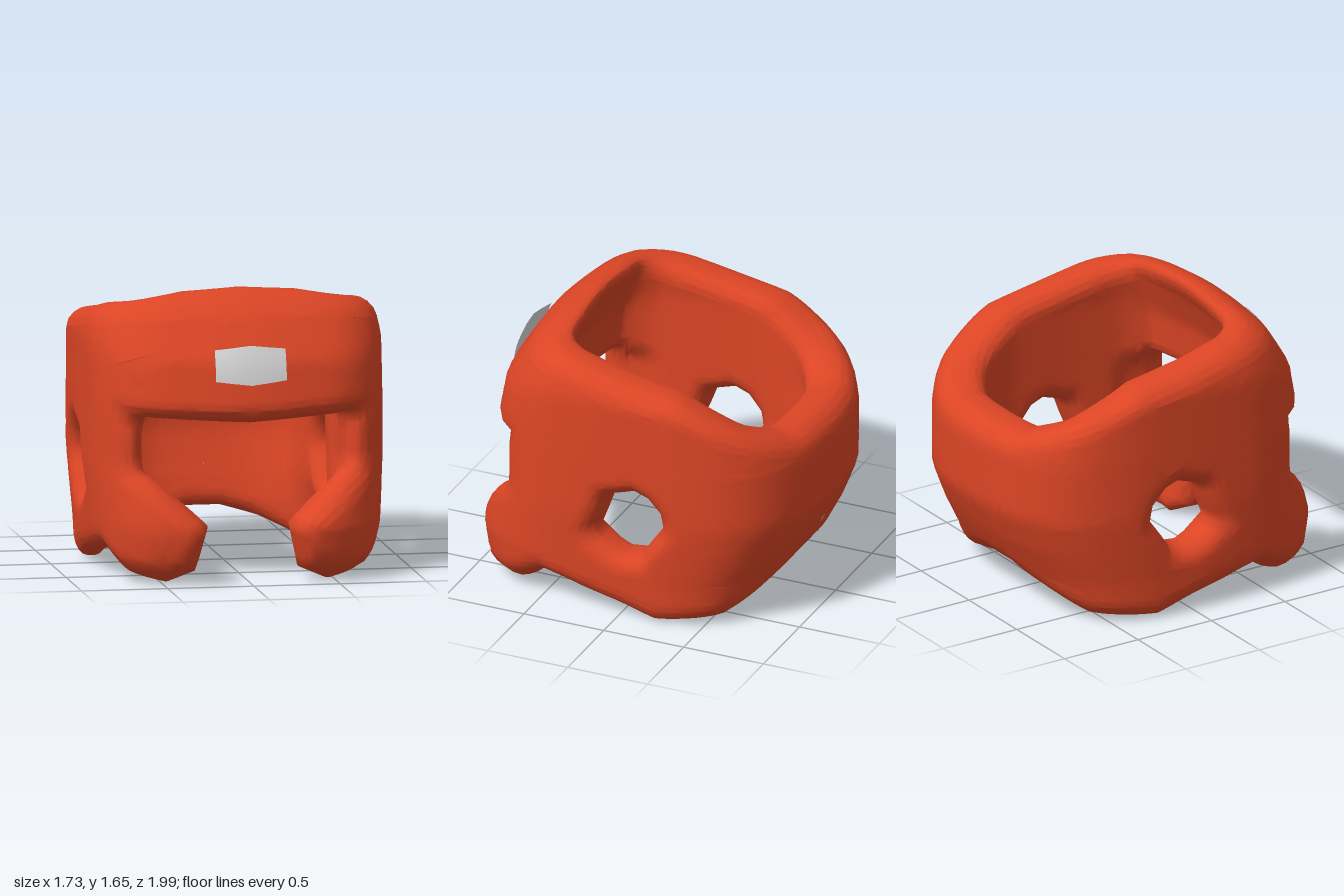
import * as THREE from 'three';
import { mergeVertices } from 'three/addons/utils/BufferGeometryUtils.js';

// Piecewise linear lookup through [key, value] pairs.
function lookup(table, k) {
  if (k <= table[0][0]) return table[0][1];
  for (let i = 1; i < table.length; i++) {
    const [k0, v0] = table[i - 1], [k1, v1] = table[i];
    if (k <= k1) return v0 + (v1 - v0) * (k - k0) / (k1 - k0);
  }
  return table[table.length - 1][1];
}

// Splits the longest edge of each triangle until all edges are short enough to bend,
// and drops the triangles that lie wholly past the back seam.
function subdivide(geometry, limit, seam) {
  const p = geometry.getAttribute('position');
  const stack = [], out = [];
  const corner = (i) => new THREE.Vector3().fromBufferAttribute(p, i);
  for (let i = 0; i < p.count; i += 3) stack.push([corner(i), corner(i + 1), corner(i + 2)]);
  while (stack.length) {
    const t = stack.pop();
    if (t.every((v) => Math.abs(v.x) > seam)) continue;
    const len = [0, 1, 2].map((i) => t[i].distanceTo(t[(i + 1) % 3]));
    const i = len.indexOf(Math.max(...len));
    if (len[i] <= limit) { for (const v of t) out.push(v.x, v.y, v.z); continue; }
    const a = t[i], b = t[(i + 1) % 3], c = t[(i + 2) % 3];
    const m = a.clone().add(b).multiplyScalar(0.5);
    stack.push([a, m, c], [m, b, c]);
  }
  const g = new THREE.BufferGeometry();
  g.setAttribute('position', new THREE.Float32BufferAttribute(out, 3));
  return g;
}

// Plan of the padding's middle layer, from front centre round the left side to the back (x, z).
const HALF_PLAN = [[0, 0.785], [0.3, 0.755], [0.56, 0.68], [0.68, 0.48], [0.71, 0.2],
  [0.71, -0.1], [0.685, -0.42], [0.585, -0.675], [0.37, -0.81], [0, -0.85]];

// Scale of the plan by height: front half depth, back half depth and width.
const FRONT = [[0.0, 1.0], [0.14, 1.09], [0.32, 1.12], [0.65, 1.01], [1.0, 1.01], [1.27, 0.95], [1.5, 0.79], [1.65, 0.63]];
const BACK = [[0.0, 0.73], [0.24, 0.81], [0.45, 0.92], [0.65, 1.0], [1.0, 1.0], [1.2, 0.96]];
const WIDTH = [[0.0, 0.96], [0.24, 0.97], [0.64, 1.0], [1.35, 1.0], [1.6, 0.94]];

// Thinning of the padding: lower rim of sides and back, and pillars beside the face opening.
const RIM_ROUND = [[0.9, 0], [1.1, 0.35], [1.7, 0.35], [2.2, 0.15]];
const RIM_HEIGHT = [[0.05, 1], [0.4, 0]];
const PILLAR_ROUND = [[0.6, 0.4], [0.95, 0]];
const PILLAR_HEIGHT = [[0.45, 0], [0.65, 1], [0.9, 1], [1.0, 0]];

function createShell() {
  const mirrored = HALF_PLAN.slice(1, -1).reverse().map(([x, z]) => [-x, z]);
  const plan = new THREE.CatmullRomCurve3(
    [...HALF_PLAN, ...mirrored].map(([x, z]) => new THREE.Vector3(x, 0, z)), true);
  plan.arcLengthDivisions = 600;
  const length = plan.getLength(), half = length / 2, end = half + 0.15;

  // Flat pattern: distance round the head against height, left half then mirrored.
  const lower = [[0.6, 0.955], [0.6, 0.65], [0.25, 0.33], [0.32, 0.07], [0.48, 0], [0.68, 0.05],
    [0.87, 0.17], [1.15, 0.11], [1.58, 0.01], [2.03, 0.04], [2.3, 0.15], [half - 0.1, 0.21], [end, 0.21]];
  const upper = [[end, 1.14], [2.3, 1.14], [2.08, 1.22], [1.65, 1.43], [1.0, 1.54], [0.7, 1.575], [0.35, 1.63]];
  const left = [...lower, ...upper];
  const flip = ([u, y]) => [-u, y];
  const outline = [[0, 0.925], ...left, [0, 1.65], ...left.map(flip).reverse()];
  const toPoints = (list) => list.map(([u, y]) => new THREE.Vector2(u, y));
  const pattern = new THREE.Shape(toPoints(outline));

  // Ear openings
  const ear = [[1.14, 0.5], [1.24, 0.42], [1.31, 0.39], [1.43, 0.4], [1.56, 0.6],
    [1.54, 0.7], [1.47, 0.78], [1.39, 0.81], [1.23, 0.76]];
  pattern.holes.push(new THREE.Path(toPoints(ear)), new THREE.Path(toPoints(ear.map(flip))));

  const round = 0.12, inset = 0.11, core = 0.06, outer = round + core / 2;
  const flat = new THREE.ExtrudeGeometry(pattern, {
    depth: core, bevelEnabled: true, bevelThickness: round, bevelSize: inset,
    bevelOffset: -inset, bevelSegments: 4, steps: 1,
  });
  const bent = subdivide(flat, 0.1, half);

  // Wrap the padded pattern round the plan and shape it by height.
  const p = bent.getAttribute('position');
  for (let i = 0; i < p.count; i++) {
    const y = p.getY(i);
    const u = THREE.MathUtils.clamp(p.getX(i), -half, half), a = Math.abs(u);
    const thin = lookup(RIM_ROUND, a) * lookup(RIM_HEIGHT, y)
      + lookup(PILLAR_ROUND, a) * lookup(PILLAR_HEIGHT, y);
    const w = outer - (outer + core / 2 - p.getZ(i)) * (1 - thin);
    const t = (u / length + 1) % 1;
    const c = plan.getPointAt(t), d = plan.getTangentAt(t);
    const x = (c.x - d.z * w) * lookup(WIDTH, y);
    const z = c.z + d.x * w;
    p.setXYZ(i, x, y, z * lookup(z > 0 ? FRONT : BACK, y));
  }
  const shell = mergeVertices(bent, 1e-3);
  shell.computeVertexNormals();
  return shell;
}

// Six-sided plate bowed to follow the brow
function createPlate() {
  const g = new THREE.PlaneGeometry(0.41, 0.2, 4, 4);
  const p = g.getAttribute('position');
  for (let i = 0; i < p.count; i++) {
    const x = p.getX(i), v = p.getY(i) / 0.1, side = Math.abs(x) / 0.205;
    const y = 1.26 + v * (0.112 - 0.024 * side);
    p.setXYZ(i, x, y, 0.925 - 0.025 * v - 0.008 * v * v - 0.02 * side * side);
  }
  g.computeVertexNormals();
  return g;
}

export function createModel() {
  const padding = new THREE.MeshStandardMaterial({ color: 0xdb4525 });
  padding.name = 'red padding';
  const badge = new THREE.MeshStandardMaterial({ color: 0xdadada, side: THREE.DoubleSide });
  badge.name = 'light grey plate';

  const group = new THREE.Group();
  group.name = 'headGuard';
  const shell = new THREE.Mesh(createShell(), padding);
  shell.name = 'paddedShell';
  const plate = new THREE.Mesh(createPlate(), badge);
  plate.name = 'browPlate';
  group.add(shell, plate);
  return group;
}
